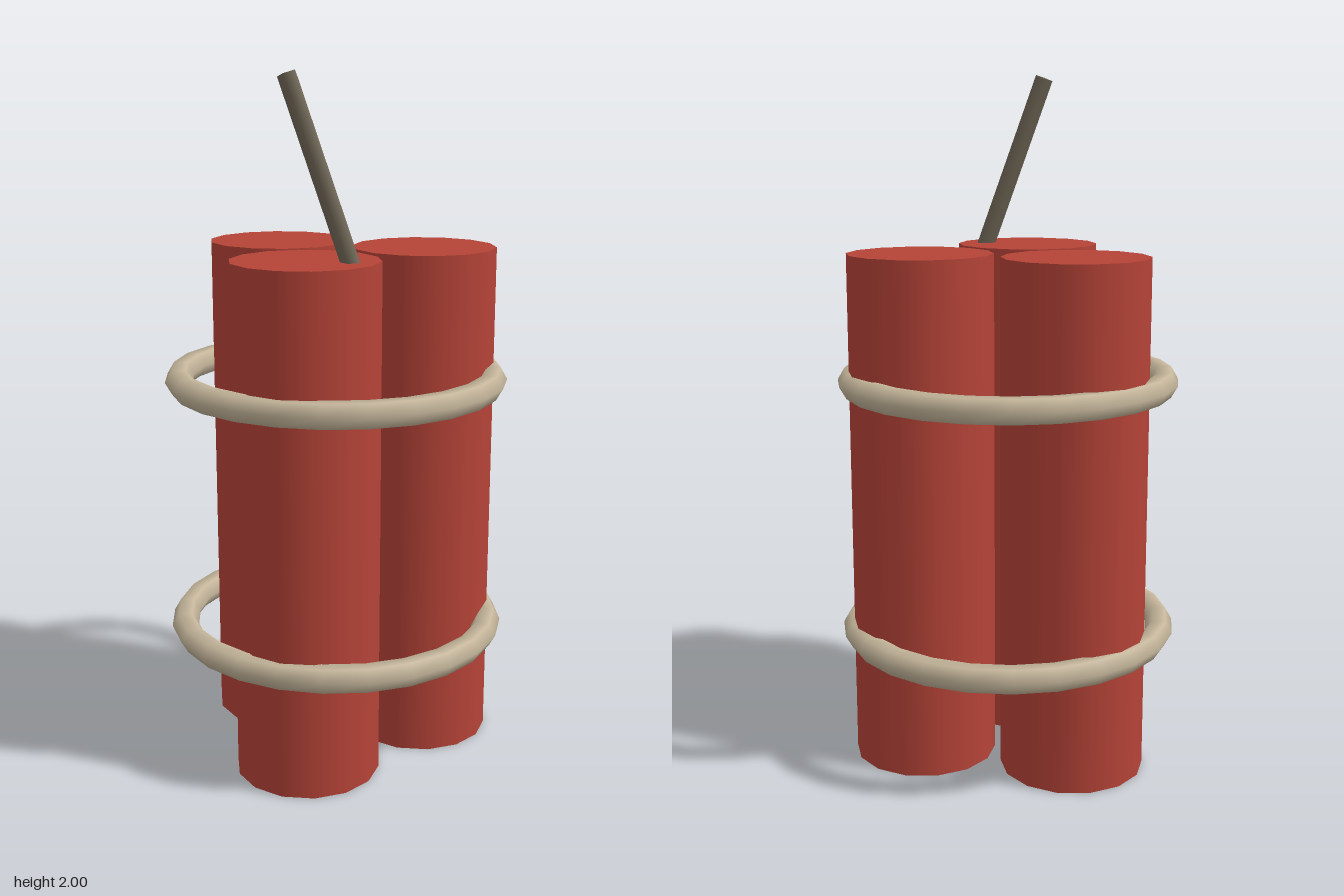
import * as THREE from 'three';

export function createModel() {
  const model = new THREE.Group();
  model.name = 'stickBundle';

  const red = new THREE.MeshStandardMaterial({ color: 0xb54337 });
  red.name = 'red paper';
  const cord = new THREE.MeshStandardMaterial({ color: 0xc4b59a });
  cord.name = 'pale cord';
  const grey = new THREE.MeshStandardMaterial({ color: 0x706757 });
  grey.name = 'fuse grey';

  const add = (name, geometry, material, x, y, z) => {
    const mesh = new THREE.Mesh(geometry, material);
    mesh.name = name;
    mesh.position.set(x, y, z);
    model.add(mesh);
    return mesh;
  };

  // Three upright sticks in a triangle
  const stick = new THREE.CylinderGeometry(0.21, 0.21, 1.5, 14);
  add('frontStick', stick, red, 0, 0.75, 0.25);
  add('backLeftStick', stick, red, 0.225, 0.75, -0.132);
  add('backRightStick', stick, red, -0.225, 0.75, -0.132);

  // Two cord loops around the bundle
  const loop = new THREE.TorusGeometry(0.46, 0.04, 6, 24).rotateX(Math.PI / 2);
  add('lowerCord', loop, cord, 0, 0.375, 0);
  add('upperCord', loop, cord, 0, 1.125, 0);

  // Leaning fuse on the front stick
  const fuse = add('fuse', new THREE.CylinderGeometry(0.028, 0.028, 0.53, 5), grey, 0.043, 1.741, 0.25);
  fuse.rotation.z = 0.35;

  return model;
}
